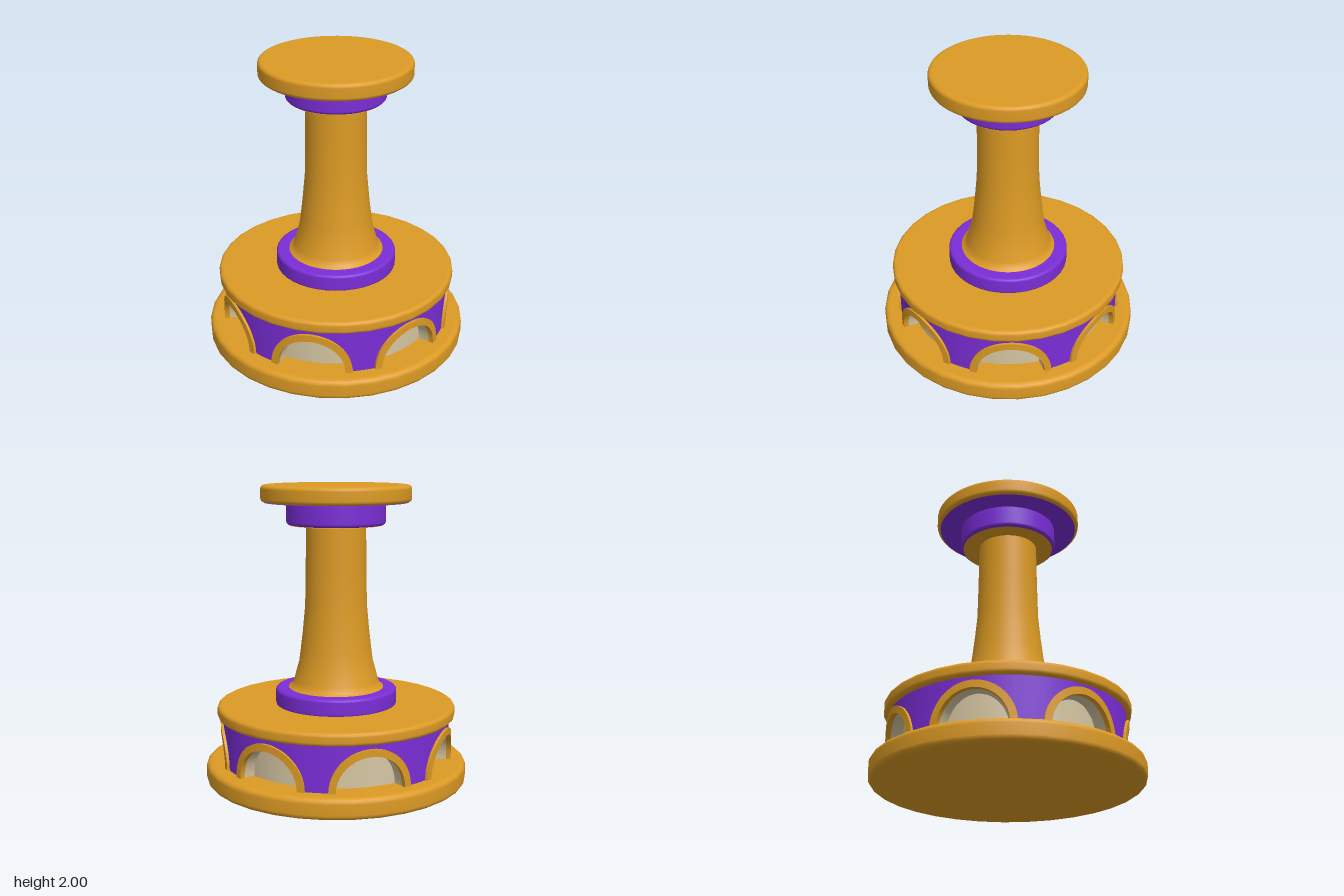
import * as THREE from 'three';
import { mergeGeometries } from 'three/addons/utils/BufferGeometryUtils.js';

const mat = (name, color) => {
  const m = new THREE.MeshStandardMaterial({ color });
  m.name = name;
  return m;
};

// Round slab with softened rims, standing between y0 and y1
function slab(r, y0, y1, bevel, segments) {
  const pts = [[0, y0], [r - bevel - 0.006, y0]];
  for (let i = 0; i <= 4; i++) {
    const a = (i / 4) * Math.PI / 2;
    pts.push([r - bevel + bevel * Math.sin(a), y0 + bevel - bevel * Math.cos(a)]);
  }
  for (let i = 0; i <= 4; i++) {
    const a = (i / 4) * Math.PI / 2;
    pts.push([r - bevel + bevel * Math.cos(a), y1 - bevel + bevel * Math.sin(a)]);
  }
  pts.push([r - bevel - 0.006, y1], [0, y1]);
  return new THREE.LatheGeometry(pts.map(p => new THREE.Vector2(...p)), segments);
}

// Surface between two equally long rows of points
function ribbon(a, b) {
  const n = a.length, index = [];
  for (let i = 0; i < n - 1; i++) index.push(i, i + 1, n + i + 1, i, n + i + 1, n + i);
  const g = new THREE.BufferGeometry().setFromPoints([...a, ...b]);
  g.setIndex(index);
  g.computeVertexNormals();
  return g;
}

const FLOOR = 0.14, CEILING = 0.455, WALL = 0.77, ARCHES = 7;
const onDrum = (angle, y, r) => new THREE.Vector3(r * Math.sin(angle), y, r * Math.cos(angle));

// Half-round arch line of the given radius, wrapped around the drum at radius r
function archLine(radius, r) {
  return Array.from({ length: 29 }, (_, i) => {
    const t = (i / 28) * Math.PI;
    return onDrum(-radius * Math.cos(t) / 0.785, FLOOR + radius * Math.sin(t), r);
  });
}

export function createModel() {
  const gold = mat('gold', 0xdc9a24);
  const purple = mat('purple', 0x7a2dd6);
  const cream = mat('cream', 0xd6c6a2);
  for (const m of [gold, purple, cream]) m.side = THREE.DoubleSide;

  const model = new THREE.Group();
  model.name = 'pedestal';
  const add = (name, geometry, material, parent = model) => {
    const mesh = new THREE.Mesh(geometry, material);
    mesh.name = name;
    parent.add(mesh);
    return mesh;
  };

  // Stacked slabs and collars
  add('basePlate', slab(0.888, 0, 0.14, 0.035, 32), gold);
  add('drumLid', slab(0.808, 0.445, 0.53, 0.025, 32), gold);
  add('lowerCollar', slab(0.41, 0.52, 0.64, 0.02, 40), purple);
  add('upperCollar', slab(0.33, 1.738, 1.9, 0.022, 40), purple);
  add('topPlate', slab(0.5, 1.888, 2, 0.025, 64), gold);

  // Coloured undersides of the collar and the top plate
  const underside = (name, r, y, material) => {
    const disc = add(name, new THREE.CircleGeometry(r, 48), material);
    disc.rotation.x = Math.PI / 2;
    disc.position.y = y;
  };
  underside('topPlateUnderside', 0.478, 1.885, purple);
  underside('upperCollarUnderside', 0.312, 1.735, gold);

  // Flared column
  const column = [[0.325, 0.635], [0.32, 0.645], [0.3, 0.655], [0.285, 0.69], [0.27, 0.75], [0.25, 0.82],
    [0.238, 0.91], [0.224, 1.03], [0.208, 1.2], [0.203, 1.45], [0.2, 1.74]];
  add('column', new THREE.LatheGeometry(column.map(p => new THREE.Vector2(...p)), 40), gold);

  // Back wall of the niches
  const core = add('nicheBackWall', new THREE.CylinderGeometry(0.68, 0.68, CEILING - 0.13, 56, 1, true), cream);
  core.position.y = (CEILING + 0.13) / 2;

  // Pieces of one bay of the arcade
  const IN = 0.23, MID = 0.253, OUT = 0.277, FRONT = 0.788, BACK = 0.755;
  const rim = mergeGeometries([
    ribbon(archLine(IN, FRONT), archLine(OUT, FRONT)),
    ribbon(archLine(OUT, FRONT), archLine(OUT, BACK)),
    ribbon(archLine(IN, BACK), archLine(IN, FRONT)),
  ]);
  const reveal = ribbon(archLine(IN, 0.675), archLine(IN, BACK));
  const opening = archLine(MID, WALL);
  const start = MID / 0.785, end = 2 * Math.PI / ARCHES - start;
  const pierRow = y => Array.from({ length: 7 }, (_, i) => onDrum(start + (end - start) * i / 6, y, WALL));
  const wall = mergeGeometries([
    ribbon(opening, opening.map(p => p.clone().setY(CEILING))),
    ribbon(pierRow(FLOOR - 0.01), pierRow(CEILING)),
  ]);

  // Seven bays around the drum, one facing straight to -x
  for (let i = 0; i < ARCHES; i++) {
    const bay = new THREE.Group();
    bay.name = 'archBay';
    bay.rotation.y = -Math.PI / 2 + i * 2 * Math.PI / ARCHES;
    add('archRim', rim, gold, bay);
    add('archReveal', reveal, cream, bay);
    add('drumWall', wall, purple, bay);
    model.add(bay);
  }
  return model;
}
